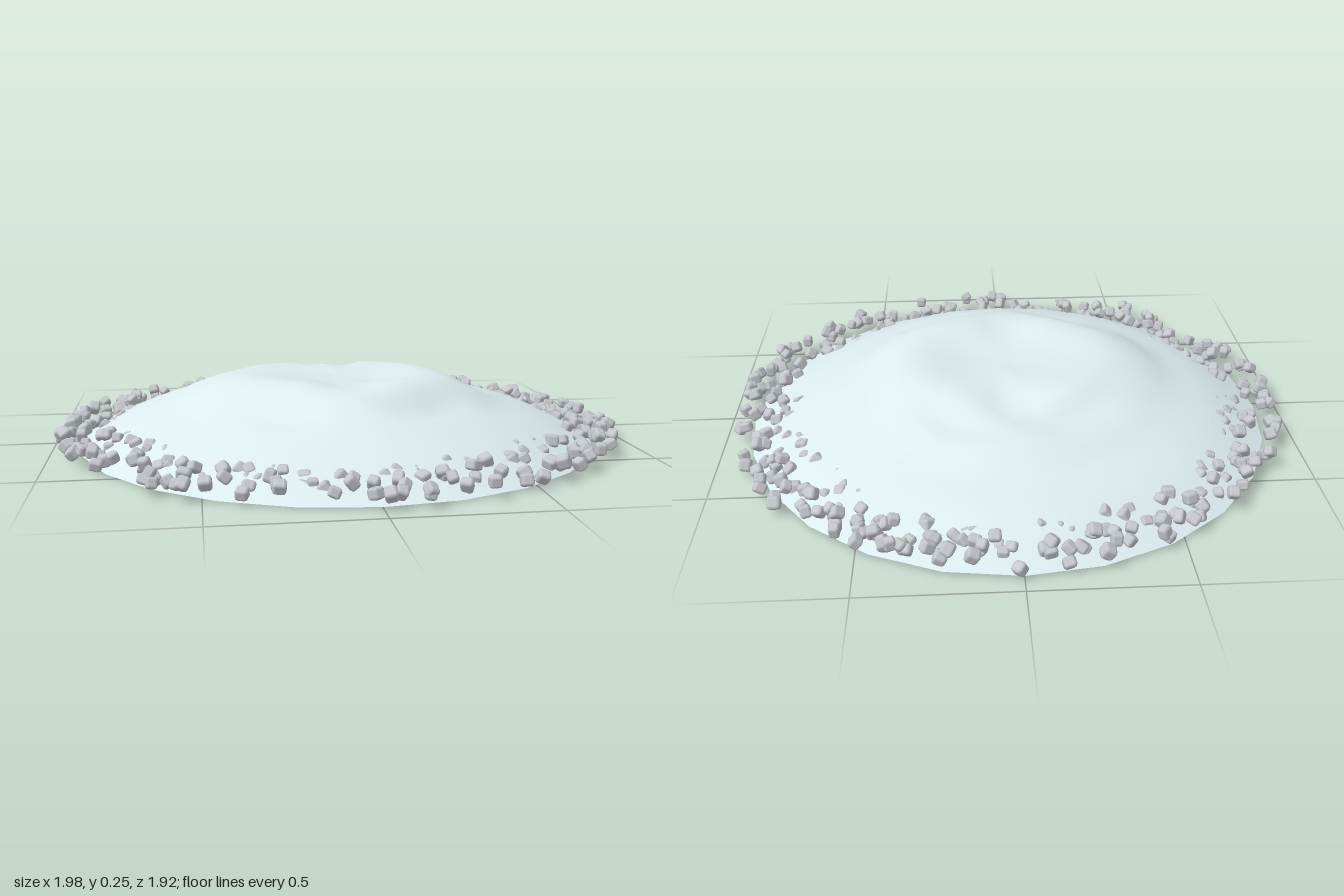
import * as THREE from 'three';
import { mergeGeometries } from 'three/addons/utils/BufferGeometryUtils.js';
import { RoundedBoxGeometry } from 'three/addons/geometries/RoundedBoxGeometry.js';

// Radii of the height samples, and heights every 30 degrees from front via left
const RADII = [0, 0.15, 0.3, 0.4, 0.5, 0.6, 0.75, 0.92];
const HEIGHTS = [
  [0.22, 0.217, 0.225, 0.225, 0.2, 0.152, 0.085, 0.005], // front
  [0.22, 0.217, 0.25, 0.24, 0.155, 0.145, 0.088, 0.005],
  [0.22, 0.213, 0.235, 0.24, 0.205, 0.14, 0.088, 0.005],
  [0.22, 0.217, 0.235, 0.22, 0.16, 0.135, 0.085, 0.01], // left (+x)
  [0.22, 0.222, 0.235, 0.215, 0.17, 0.13, 0.085, 0.01],
  [0.22, 0.228, 0.23, 0.175, 0.165, 0.125, 0.085, 0.01],
  [0.22, 0.23, 0.185, 0.195, 0.18, 0.13, 0.1, 0.01], // back
  [0.22, 0.23, 0.23, 0.175, 0.165, 0.125, 0.085, 0.01],
  [0.22, 0.23, 0.24, 0.215, 0.18, 0.145, 0.09, 0.01],
  [0.22, 0.23, 0.24, 0.235, 0.205, 0.155, 0.1, 0.01], // right (-x)
  [0.22, 0.228, 0.245, 0.24, 0.2, 0.14, 0.09, 0.005],
  [0.22, 0.223, 0.25, 0.225, 0.15, 0.135, 0.088, 0.005],
];
const SECTORS = HEIGHTS.length;
const SEGMENTS = 24;
const RINGS = 21;
const STONES = 420;

function seededRandom(seed) {
  return () => {
    seed = (seed + 0x6d2b79f5) | 0;
    let t = Math.imul(seed ^ (seed >>> 15), 1 | seed);
    t = (t + Math.imul(t ^ (t >>> 7), 61 | t)) ^ t;
    return ((t ^ (t >>> 14)) >>> 0) / 4294967296;
  };
}

function createMound(material) {
  // One smooth radial profile per direction
  const profiles = HEIGHTS.map((row) =>
    new THREE.SplineCurve(row.map((y, i) => new THREE.Vector2(RADII[i], y))));
  const positions = [0, HEIGHTS[0][0], -0.02];
  for (let i = 1; i <= RINGS; i++) {
    for (let j = 0; j < SEGMENTS; j++) {
      const angle = (j / SEGMENTS) * Math.PI * 2;
      const sector = (j / SEGMENTS) * SECTORS;
      const k = Math.floor(sector);
      const p = profiles[k].getPoint(i / RINGS)
        .lerp(profiles[(k + 1) % SECTORS].getPoint(i / RINGS), sector - k);
      positions.push(p.x * Math.sin(angle), p.y, p.x * Math.cos(angle) - 0.02);
    }
  }
  const index = [];
  const at = (i, j) => 1 + (i - 1) * SEGMENTS + (j % SEGMENTS);
  for (let j = 0; j < SEGMENTS; j++) {
    index.push(0, at(1, j), at(1, j + 1));
    for (let i = 1; i < RINGS; i++) {
      index.push(at(i, j), at(i + 1, j), at(i + 1, j + 1));
      index.push(at(i, j), at(i + 1, j + 1), at(i, j + 1));
    }
  }
  const geometry = new THREE.BufferGeometry();
  geometry.setAttribute('position', new THREE.Float32BufferAttribute(positions, 3));
  geometry.setIndex(index);
  geometry.computeVertexNormals();
  const mesh = new THREE.Mesh(geometry, material);
  mesh.name = 'mound';
  return mesh;
}

function createStones(material) {
  const random = seededRandom(17);
  const stone = new RoundedBoxGeometry(0.039, 0.039, 0.039, 1, 0.01);
  const matrix = new THREE.Matrix4();
  const turn = new THREE.Quaternion();
  const stones = [];
  // Loose ring of tumbled stones, a little denser towards the back
  for (let i = 0; i < STONES; i++) {
    const turnAngle = ((i + 3 * random()) / STONES) * Math.PI * 2;
    const angle = turnAngle + 0.25 * Math.sin(turnAngle);
    const r = 0.74 + 0.24 * random();
    const position = new THREE.Vector3(
      r * Math.sin(angle), 0.032 + 0.042 * random(), r * Math.cos(angle) * 0.965);
    turn.setFromEuler(new THREE.Euler(random() * 6.28, random() * 6.28, random() * 6.28));
    const scale = new THREE.Vector3(0.85 + 0.3 * random(), 0.85 + 0.3 * random(), 0.85 + 0.3 * random());
    stones.push(stone.clone().applyMatrix4(matrix.compose(position, turn, scale)));
  }
  const mesh = new THREE.Mesh(mergeGeometries(stones), material);
  mesh.name = 'stoneRing';
  return mesh;
}

export function createModel() {
  const group = new THREE.Group();
  group.name = 'moundWithStones';
  group.add(
    createMound(new THREE.MeshStandardMaterial({ color: 0xdcebee, side: THREE.DoubleSide })),
    createStones(new THREE.MeshStandardMaterial({ color: 0xc4c8cc })),
  );
  return group;
}
